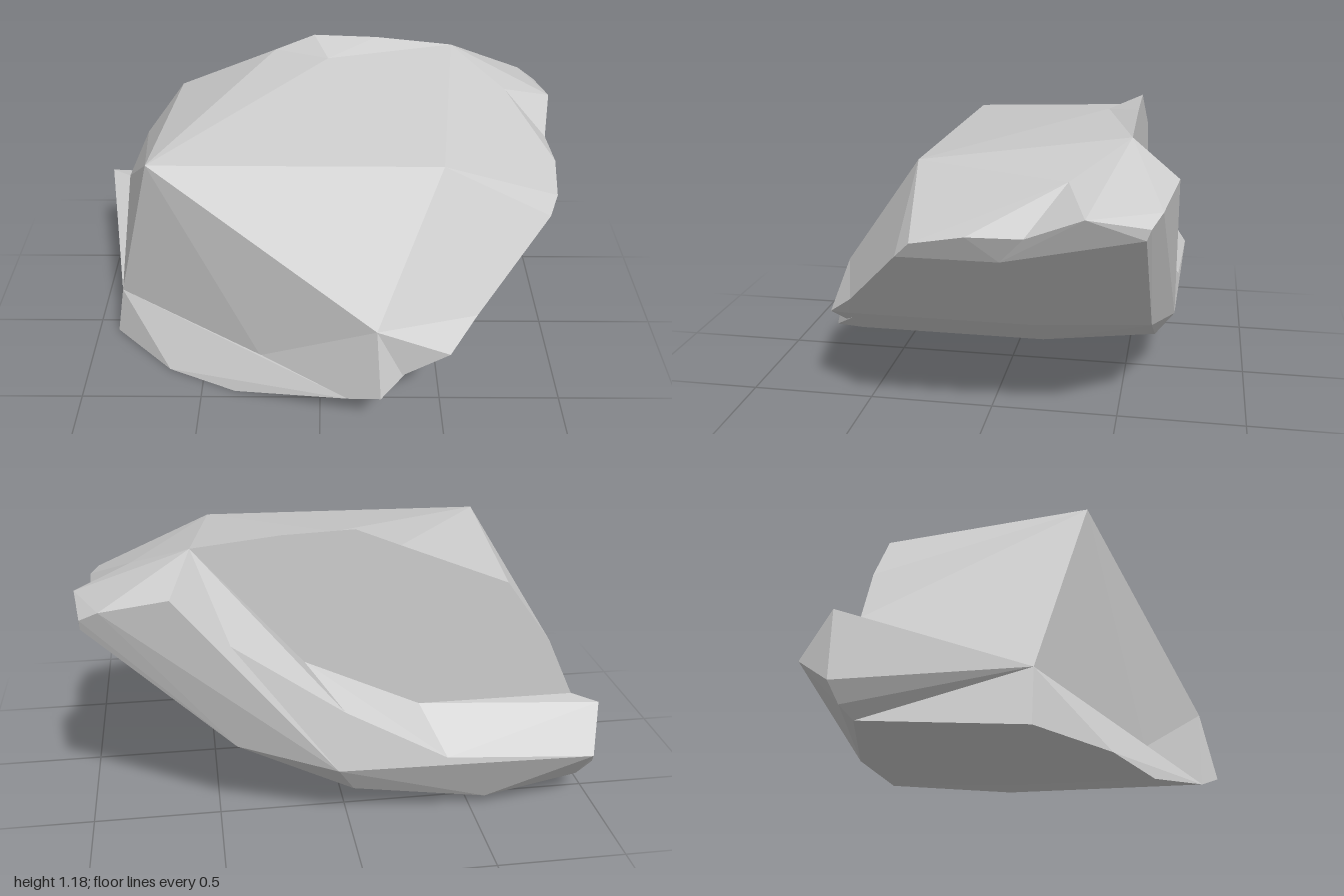
import * as THREE from 'three';
import { ConvexGeometry } from 'three/addons/geometries/ConvexGeometry.js';

const stone = new THREE.MeshStandardMaterial({ color: 0xcccccc, flatShading: true });

// A faceted chunk of rock: the hull of its corner points
function chunk(name, corners) {
  const points = corners.map((c) => new THREE.Vector3(...c));
  const mesh = new THREE.Mesh(new ConvexGeometry(points), stone);
  mesh.name = name;
  return mesh;
}

export function createModel() {
  const rock = new THREE.Group();
  rock.name = 'rock';

  // Slanted underside: front corners and the matching rear corners
  const [cheek, jaw, chin, toe] = [[0.92, 0.76, 0.26], [0.52, 0.37, 0.57], [0.11, 0.135, 0.65], [-0.36, 0, 0.465]];
  const belly = [[0.92, 0.76, -0.11], [0.52, 0.37, -0.15], [0.11, 0.135, -0.15], [-0.36, 0, -0.09]];

  // Flat rear wall, all in one plane: rim above, ledge line below
  const wallZ = -0.53;
  const onWall = ([x, y]) => [x, y, wallZ];
  const rim = [[-0.8, 0.69], [-0.62, 0.94], [-0.2, 1.11]].map(onWall);
  const ledge = [[0.57, 1.135], [0.16, 0.66], [-0.29, 0.45], [-0.91, 0.45]].map(onWall);
  const heel = onWall([-0.9, 0.06]);

  // Main block: top corners, right edge, left ankle, front hollow
  const summit = [0.03, 1.13, -0.4];
  const hip = [0.79, 1.02, -0.33];
  const top = [[-0.68, 0.99, 0.26], [0.48, 1, 0.28], [-0.61, 0.95, -0.41], summit, hip];
  const edge = [[0.95, 0.82, 0.2], [0.97, 0.86, 0], [0.96, 0.86, -0.2]];
  const ankle = [-0.87, 0.24, 0.08];
  const hollow = [-0.25, 0.17, 0.43];
  const brow = [0.22, 0.49, 0.66];
  const shoulder = [0.62, 0.47, 0.53];
  rock.add(chunk('mainBlock', [
    ...belly, ...rim, ...ledge, ...top, ...edge, cheek, jaw, ankle, hollow, heel, brow, shoulder,
  ]));

  // Raised crest along the rear rim
  rock.add(chunk('crest', [
    summit, rim[2], ledge[0], ...[[-0.03, 1.18], [0.24, 1.17], [0.1, 0.9]].map(onWall),
  ]));

  // Lower front: foot at the left, buttress, corner and small spur
  rock.add(chunk('frontFoot', [
    ankle, [-0.91, 0.01, 0.08], [-0.65, 0, 0.33], toe, hollow, chin, heel, belly[2], belly[3],
  ]));
  rock.add(chunk('frontButtress', [brow, jaw, shoulder, chin, hollow, belly[1], belly[2]]));
  rock.add(chunk('frontCorner', [brow, [0.51, 0.37, 0.65], chin, shoulder, jaw, [0.4, 0.45, 0.5]]));
  rock.add(chunk('frontSpur', [brow, [0.24, 0.2, 0.72], chin, [0.38, 0.29, 0.61], [0.1, 0.3, 0.5]]));

  // Projecting rear lip, from the high right end to the low left end
  const lipKeel = [[0.43, 0.365, -0.62], [-0.02, 0.14, -0.62], [-0.56, 0.045, -0.6]];
  const lipBend = [0.05, 0.27, -0.7];
  const lipRim = [-0.37, 0.3, -0.705];
  const groove = [[0.5, 0.845, -0.665], [0.02, 0.5, -0.66]];
  rock.add(chunk('rearLipRight', [
    [0.65, 1.01, -0.705], [0.9, 0.96, -0.66], [0.97, 0.92, -0.625], [0.97, 0.88, -0.61],
    [1, 0.95, -0.41], hip, edge[2], ledge[0], belly[0], belly[1], lipKeel[0], lipBend,
  ]));
  rock.add(chunk('rearLipStep', [ledge[0], ledge[1], ...groove, lipBend, lipKeel[0], belly[1]]));
  rock.add(chunk('rearLipMiddle', [
    ledge[1], ledge[2], groove[1], lipBend, lipRim, lipKeel[0], lipKeel[1], belly[1], belly[2],
  ]));
  rock.add(chunk('rearLipLeft', [
    ledge[2], ledge[3], lipRim, lipBend, lipKeel[1], lipKeel[2], belly[2], belly[3], heel, ankle,
    [-1, 0.44, -0.6], [-0.95, 0.27, -0.725], [-1, 0.17, -0.6], [-0.95, 0.1, -0.57],
  ]));

  return rock;
}
